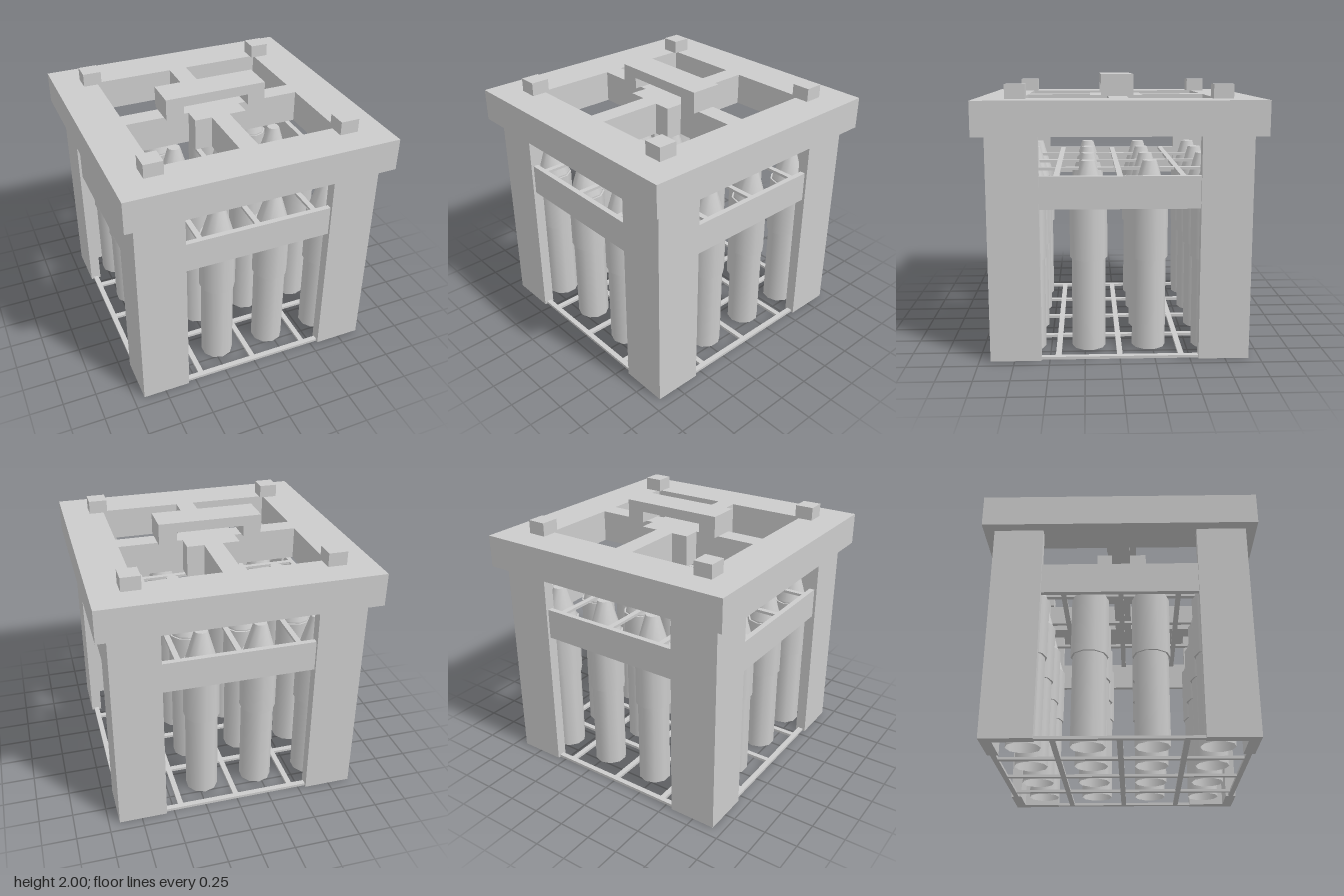
import * as THREE from 'three';

export function createModel() {
  const model = new THREE.Group();
  const grey = new THREE.MeshStandardMaterial({ color: 0xcccccc });
  grey.name = 'light grey';
  const greyOpen = grey.clone(); // same grey for open-bottomed tubes
  greyOpen.side = THREE.DoubleSide;

  // Box given by its minimum and maximum corners
  function box(name, x0, x1, y0, y1, z0, z1, parent = model) {
    const mesh = new THREE.Mesh(new THREE.BoxGeometry(x1 - x0, y1 - y0, z1 - z0), grey);
    mesh.position.set((x0 + x1) / 2, (y0 + y1) / 2, (z0 + z1) / 2);
    mesh.name = name;
    parent.add(mesh);
    return mesh;
  }

  // Shape extruded upward from y0 to y1 (shape y becomes -z)
  function slab(name, shape, y0, y1) {
    const geometry = new THREE.ExtrudeGeometry(shape, { depth: y1 - y0, bevelEnabled: false });
    geometry.rotateX(-Math.PI / 2);
    const mesh = new THREE.Mesh(geometry, grey);
    mesh.position.y = y0;
    mesh.name = name;
    model.add(mesh);
    return mesh;
  }

  const square = (r) => [[-r, -r], [r, -r], [r, r], [-r, r]].map(([x, y]) => new THREE.Vector2(x, y));
  function ring(outer, inner) {
    const shape = new THREE.Shape(square(outer));
    shape.holes.push(new THREE.Path(square(inner)));
    return shape;
  }

  // Top frame and the band around the tubes
  slab('topFrame', ring(1, 0.68), 1.6, 1.84);
  slab('rackBand', ring(0.9, 0.86), 1.09, 1.32);

  // L-section corner posts
  const angle = new THREE.Shape([
    [0.92, 0.92], [0.56, 0.92], [0.56, 0.84], [0.84, 0.84], [0.84, 0.56], [0.92, 0.56],
  ].map(([x, y]) => new THREE.Vector2(x, y)));
  for (let i = 0; i < 4; i++) {
    slab('cornerPost', angle, 0, 1.6).rotation.y = i * Math.PI / 2;
  }

  // Locating blocks on the frame corners
  for (const x of [-0.72, 0.72]) {
    for (const z of [-0.72, 0.72]) {
      box('cornerBlock', x - 0.07, x + 0.07, 1.84, 1.94, z - 0.07, z + 0.07);
    }
  }

  // Cross beams and hub inside the frame
  box('crossBeamX', -0.69, 0.69, 1.6, 1.84, -0.07, 0.07);
  box('crossBeamZ', -0.07, 0.07, 1.6, 1.84, -0.69, 0.69);
  box('hub', -0.2, 0.2, 1.6, 1.84, -0.2, 0.2);

  // Lifting handle
  const handleShape = new THREE.Shape([
    [-0.39, 1.84], [-0.255, 1.84], [-0.255, 1.925], [0.255, 1.925],
    [0.255, 1.84], [0.39, 1.84], [0.39, 2], [-0.39, 2],
  ].map(([x, y]) => new THREE.Vector2(x, y)));
  const handle = new THREE.Mesh(
    new THREE.ExtrudeGeometry(handleShape, { depth: 0.24, bevelEnabled: false }), grey);
  handle.position.z = -0.12;
  handle.name = 'handle';
  model.add(handle);

  // Spacer grids at the foot and at the top of the band
  for (const [name, y] of [['bottomGrid', 0], ['upperGrid', 1.3]]) {
    const grid = new THREE.Group();
    grid.name = name;
    model.add(grid);
    for (let i = -2; i <= 2; i++) {
      const p = i * 0.44;
      box('gridBarX', -0.9, 0.9, y, y + 0.02, p - 0.02, p + 0.02, grid);
      box('gridBarZ', p - 0.02, p + 0.02, y, y + 0.02, -0.9, 0.9, grid);
    }
  }

  // Sixteen ten-sided tubes, each with a sleeve and a tapered nose
  const bodyGeometry = new THREE.CylinderGeometry(0.123, 0.123, 1.14, 10, 1, true);
  const sleeveGeometry = new THREE.CylinderGeometry(0.136, 0.136, 0.46, 10);
  const noseGeometry = new THREE.CylinderGeometry(0.05, 0.123, 0.25, 10);
  const pitch = [-0.66, -0.22, 0.22, 0.66];
  for (const x of pitch) {
    for (const z of pitch) {
      const tube = new THREE.Group();
      tube.name = 'tube';
      tube.position.set(x, 0, z);
      for (const [name, geometry, y, material] of [
        ['tubeBody', bodyGeometry, 0.59, greyOpen],
        ['tubeSleeve', sleeveGeometry, 0.92, grey],
        ['tubeNose', noseGeometry, 1.275, grey],
      ]) {
        const mesh = new THREE.Mesh(geometry, material);
        mesh.position.y = y;
        mesh.name = name;
        tube.add(mesh);
      }
      model.add(tube);
    }
  }

  return model;
}
